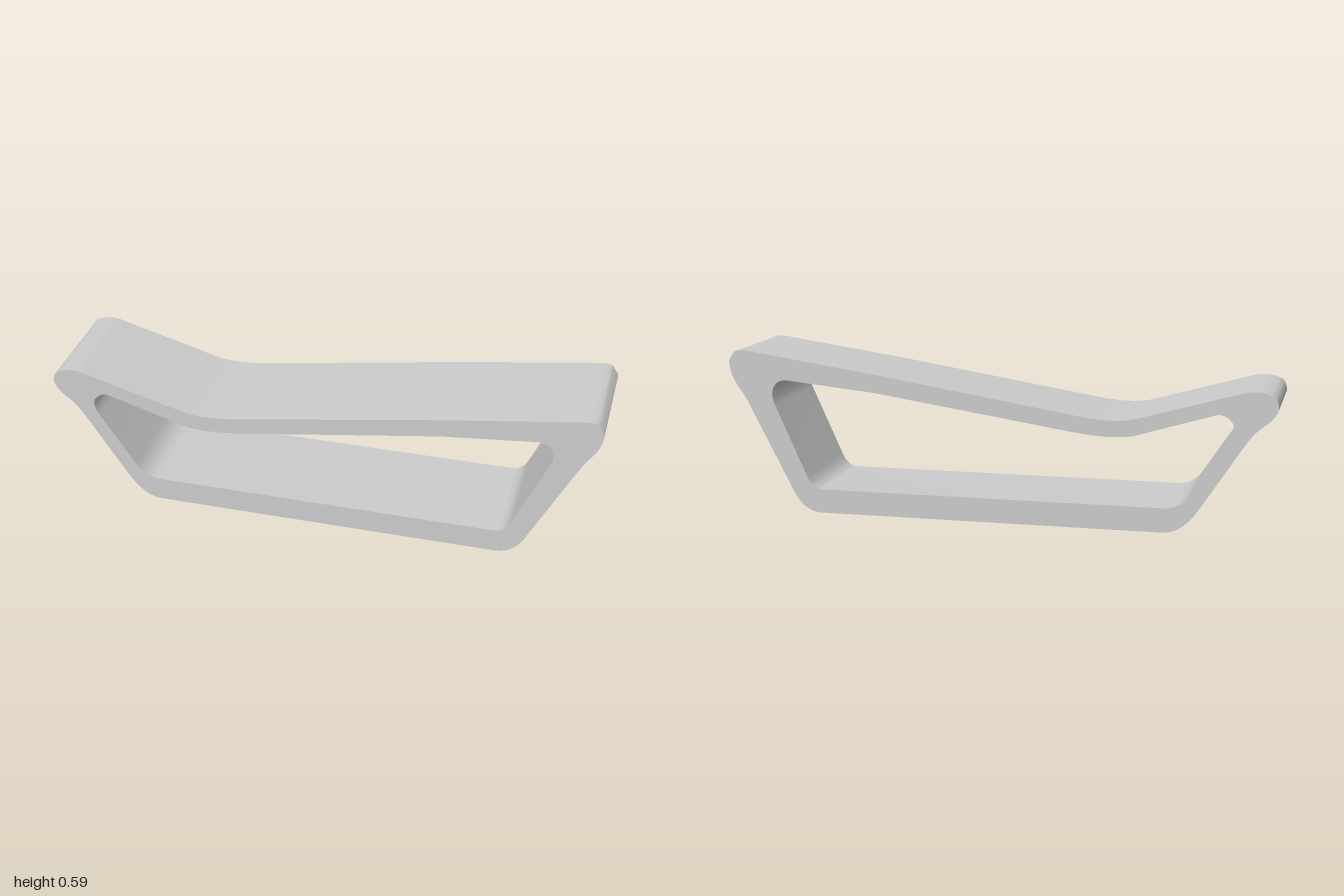
import * as THREE from 'three';
import { toCreasedNormals } from 'three/addons/utils/BufferGeometryUtils.js';

const DEPTH = 0.404;

// Trace a closed outline: [x, y] is a straight run, [cx, cy, x, y] a rounded corner
function trace(path, steps) {
  const [first, ...rest] = steps;
  path.moveTo(first[0], first[1]);
  for (const s of rest) {
    if (s.length === 4) path.quadraticCurveTo(...s);
    else path.lineTo(...s);
  }
  path.closePath();
  return path;
}

export function createModel() {
  const group = new THREE.Group();
  group.name = 'loopFrame';

  // Outer outline, counter-clockwise from the bottom left
  const outline = trace(new THREE.Shape(), [
    [-0.61, 0], [0.66, 0],
    [0.73, 0.005, 0.77, 0.095],
    [0.925, 0.395],
    [0.94, 0.425, 0.97, 0.465],
    [1, 0.51, 1, 0.555],
    [0.98, 0.587],
    [0.965, 0.597, 0.935, 0.594],
    [0.44, 0.522], [-0.28, 0.407],
    [-0.42, 0.382, -0.5, 0.4],
    [-0.89, 0.51],
    [-0.94, 0.52, -0.985, 0.497],
    [-1, 0.48, -1, 0.455],
    [-0.99, 0.42, -0.945, 0.39],
    [-0.91, 0.36, -0.885, 0.32],
    [-0.735, 0.09],
    [-0.675, 0, -0.61, 0],
  ]);

  // Opening through the loop
  outline.holes.push(trace(new THREE.Path(), [
    [-0.61, 0.088], [0.655, 0.088],
    [0.69, 0.092, 0.712, 0.145],
    [0.825, 0.395],
    [0.845, 0.44, 0.825, 0.468],
    [0.81, 0.492, 0.77, 0.488],
    [0.44, 0.455], [-0.28, 0.346],
    [-0.46, 0.32, -0.53, 0.35],
    [-0.79, 0.428],
    [-0.825, 0.432, -0.845, 0.4],
    [-0.855, 0.375, -0.83, 0.335],
    [-0.705, 0.145],
    [-0.67, 0.088, -0.61, 0.088],
  ]));

  const extruded = new THREE.ExtrudeGeometry(outline, {
    depth: DEPTH, bevelEnabled: false, curveSegments: 8,
  });
  extruded.translate(0, 0, -DEPTH / 2);

  const body = new THREE.Mesh(
    toCreasedNormals(extruded, 0.6),
    new THREE.MeshStandardMaterial({ color: 0xcccccc }),
  );
  body.name = 'frameBody';
  group.add(body);
  return group;
}
